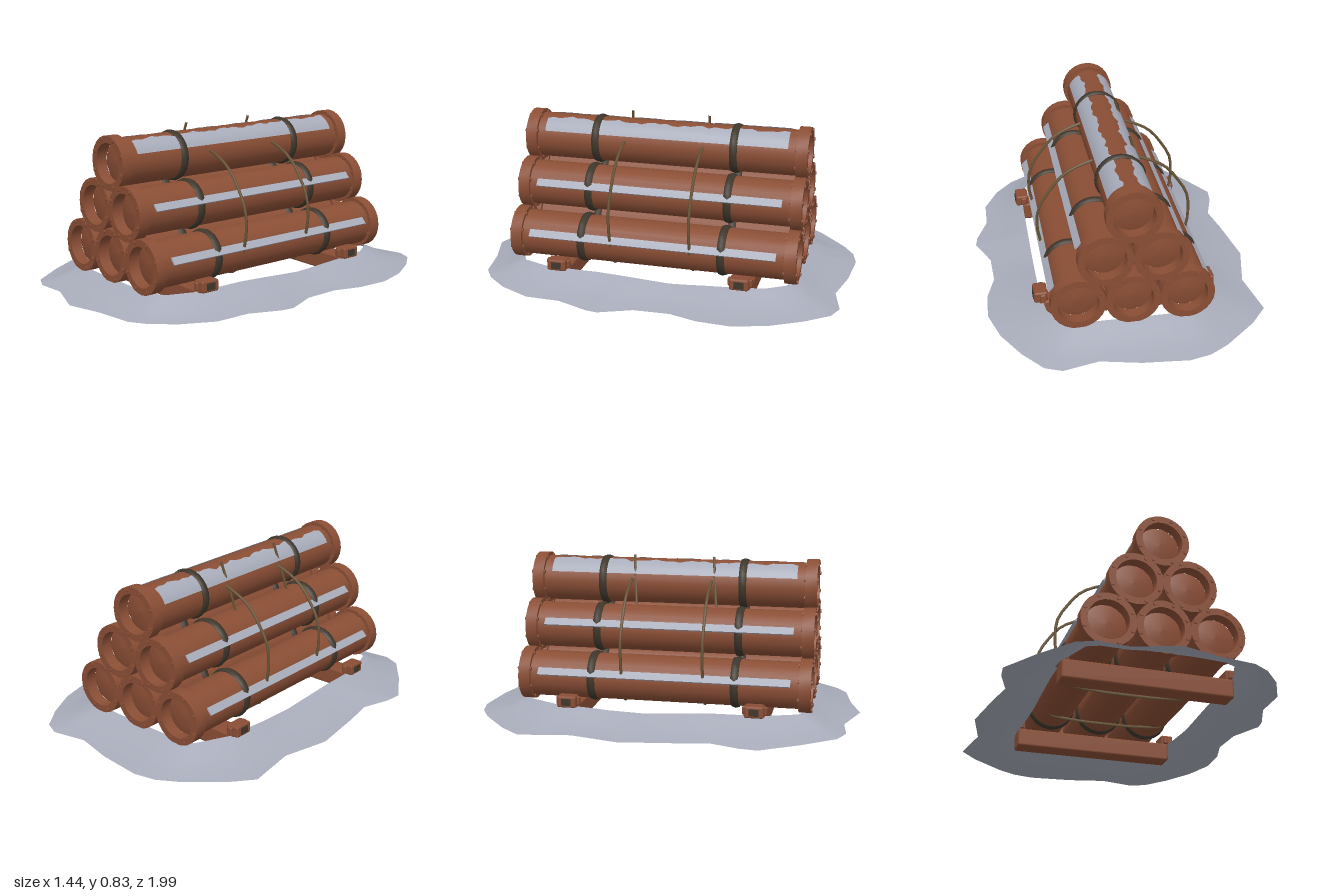
import * as THREE from 'three';
import { toCreasedNormals } from 'three/addons/utils/BufferGeometryUtils.js';
import { RoundedBoxGeometry } from 'three/addons/geometries/RoundedBoxGeometry.js';

const mat = (name, color, side = THREE.FrontSide) => {
  const m = new THREE.MeshStandardMaterial({ color, side });
  m.name = name;
  return m;
};

export function createModel() {
  const rust = mat('rust', 0x8a4e35);
  const strapDark = mat('strap', 0x3f372c);
  const ropeBrown = mat('rope', 0x6b5638);
  const frostGrey = mat('frost', 0xa8acba, THREE.DoubleSide);

  const model = new THREE.Group();
  const add = (parent, name, geo, material, x = 0, y = 0, z = 0) => {
    const mesh = new THREE.Mesh(geo, material);
    mesh.name = name;
    mesh.position.set(x, y, z);
    parent.add(mesh);
    return mesh;
  };

  // open surface through equal rows of points
  const sheet = (rows) => {
    const n = rows[0].length, pos = [], index = [];
    rows.forEach(r => r.forEach(p => pos.push(...p)));
    for (let i = 0; i < rows.length - 1; i++) {
      for (let j = 0; j < n - 1; j++) {
        const a = i * n + j, b = a + n;
        index.push(a, b, a + 1, b, b + 1, a + 1);
      }
    }
    const g = new THREE.BufferGeometry();
    g.setAttribute('position', new THREE.Float32BufferAttribute(pos, 3));
    g.setIndex(index);
    g.computeVertexNormals();
    return g;
  };

  // shared pipe pieces, all running along z
  const v = (x, y) => new THREE.Vector2(x, y);
  const bodyGeo = new THREE.CylinderGeometry(0.119, 0.119, 1.4, 24, 1, true).rotateX(Math.PI / 2);
  const flangeGeo = toCreasedNormals(new THREE.LatheGeometry(
    [v(0.102, 0.03), v(0.102, -0.03), v(0.137, -0.03), v(0.137, 0.03), v(0.102, 0.03)], 24), 0.6).rotateX(Math.PI / 2);
  const capGeo = new THREE.LatheGeometry([v(0.108, -0.005), v(0.06, 0.008), v(0, 0.012)], 9).rotateX(Math.PI / 2);
  const boltGeo = new THREE.CylinderGeometry(0.01, 0.01, 0.072, 6).rotateX(Math.PI / 2);
  const strapGeo = new THREE.TorusGeometry(0.119, 0.012, 6, 24).scale(1, 1, 1.9);

  const pipes = [[-0.27, 0.22], [0, 0.22], [0.27, 0.22], [-0.135, 0.455], [0.135, 0.455], [0, 0.685]];
  for (const [x, y] of pipes) {
    const pipe = new THREE.Group();
    pipe.name = 'pipe';
    pipe.position.set(x, y, 0);
    model.add(pipe);
    add(pipe, 'pipeBody', bodyGeo, rust);
    for (const s of [-1, 1]) {
      const end = new THREE.Group();
      end.name = 'pipeEnd';
      end.rotation.y = s > 0 ? 0 : Math.PI;
      pipe.add(end);
      add(end, 'flange', flangeGeo, rust, 0, 0, 0.722);
      add(end, 'endCap', capGeo, rust, 0, 0, 0.695);
      for (let k = 0; k < 8; k++) {
        const a = (k + 0.5) * Math.PI / 4;
        add(end, 'bolt', boltGeo, rust, 0.123 * Math.cos(a), 0.123 * Math.sin(a), 0.722);
      }
      add(pipe, 'strap', strapGeo, strapDark, 0, 0, s * 0.37);
    }
    // narrow frost ledge on the outer shoulder of the lower pipes
    if (x !== 0) {
      const s = Math.sign(x);
      const ledge = add(pipe, 'frostLedge', new THREE.BoxGeometry(0.042, 0.008, 1.3), frostGrey, s * 0.119, 0.037, 0);
      ledge.rotation.z = -s * 0.8;
    }
  }

  // ragged frost on both shoulders of the top pipe
  for (const s of [-1, 1]) {
    const rows = [];
    for (let i = 0; i <= 40; i++) {
      const z = -0.65 + 1.3 * i / 40;
      const upper = 1.17 + 0.06 * Math.sin(i * 0.9 + s) + 0.05 * Math.sin(i * 2.3) + (z < -0.25 ? 0.06 : -0.02);
      const row = [];
      for (let j = 0; j <= 6; j++) {
        const a = 0.42 + (upper - 0.42) * j / 6;
        row.push([s * 0.123 * Math.cos(a), 0.123 * Math.sin(a), z]);
      }
      rows.push(s > 0 ? row.reverse() : row);
    }
    add(model, 'topFrost', sheet(rows), frostGrey, 0, 0.685, 0);
  }

  // ropes looped round the stack, each with a loose end at the top
  const loop = [[0, 0.73], [0.14, 0.70], [0.26, 0.64], [0.345, 0.54], [0.395, 0.45], [0.407, 0.37], [0.395, 0.27],
    [0.33, 0.12], [0.2, 0.095], [0, 0.09], [-0.2, 0.095], [-0.33, 0.12], [-0.385, 0.27],
    [-0.395, 0.36], [-0.385, 0.46], [-0.335, 0.55], [-0.26, 0.64], [-0.14, 0.70]];
  for (const z of [-0.21, 0.21]) {
    const path = new THREE.CatmullRomCurve3(loop.map(([x, y]) => new THREE.Vector3(x, y, z)), true);
    add(model, 'rope', new THREE.TubeGeometry(path, 48, 0.008, 5, true), ropeBrown);
    const tail = new THREE.LineCurve3(new THREE.Vector3(-0.15, 0.58, z + 0.03), new THREE.Vector3(-0.075, 0.83, z + 0.005));
    add(model, 'ropeEnd', new THREE.TubeGeometry(tail, 1, 0.007, 5), ropeBrown);
  }

  // support beams with stop blocks
  for (const z of [-0.48, 0.48]) {
    add(model, 'supportBeam', new RoundedBoxGeometry(0.87, 0.1, 0.11, 1, 0.012), rust, 0, 0.05, z);
    for (const s of [-1, 1]) {
      add(model, 'stopBlock', new RoundedBoxGeometry(0.07, 0.06, 0.1, 1, 0.01), rust, s * 0.43, 0.12, z);
      add(model, 'stopBlockCap', new RoundedBoxGeometry(0.03, 0.045, 0.125, 1, 0.008), rust, s * 0.42, 0.12, z);
      add(model, 'stopPlate', new THREE.BoxGeometry(0.008, 0.035, 0.05), strapDark, s * 0.464, 0.12, z);
    }
  }

  // drifted snow ring sloping down from the stack
  const outline = [[-0.23, -1], [0, -0.98], [0.2, -0.935], [0.38, -0.975], [0.465, -0.94], [0.56, -0.82], [0.65, -0.66],
    [0.7, -0.49], [0.69, -0.32], [0.645, -0.175], [0.65, 0.01], [0.72, 0.175], [0.71, 0.24], [0.645, 0.4], [0.64, 0.58],
    [0.56, 0.74], [0.465, 0.85], [0.38, 0.905], [0.19, 0.935], [0, 0.99], [-0.22, 0.915], [-0.375, 0.93], [-0.465, 0.89],
    [-0.59, 0.725], [-0.71, 0.53], [-0.7, 0.44], [-0.65, 0.29], [-0.68, 0.13], [-0.72, -0.155], [-0.66, -0.4],
    [-0.7, -0.66], [-0.61, -0.77], [-0.44, -0.915], [-0.34, -0.975]];
  outline.push(outline[0]);
  const slope = [[0, 0.095], [0.2, 0.077], [0.45, 0.047], [0.75, 0.025], [1, 0.013]];
  const rings = slope.map(([t, h]) => outline.map(([x, z]) => {
    const k = 1 / Math.pow((Math.abs(x) / 0.43) ** 7 + (Math.abs(z) / 0.73) ** 7, 1 / 7);
    const f = k + (1 - k) * t;
    const dip = (1 - t) * 0.022 * Math.max(0, 1 - Math.abs(z + 0.2) / 0.6);
    return [x * f, h - dip, z * f];
  }));
  add(model, 'snowDrift', sheet(rings.reverse()), frostGrey);

  return model;
}
